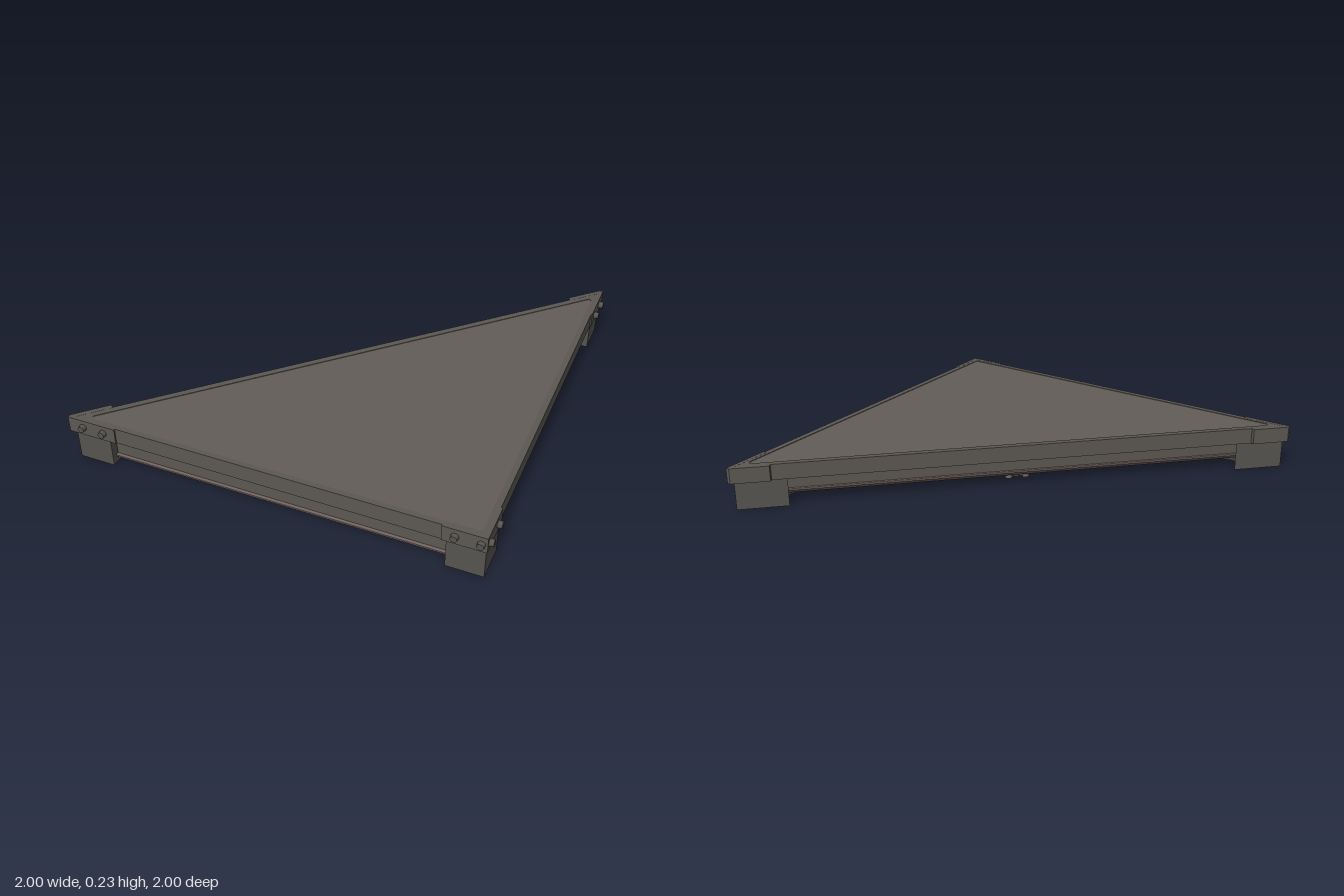
import * as THREE from 'three';

export function createModel() {
  const group = new THREE.Group();
  group.name = 'triangularPlatform';
  const mat = (name, color) => {
    const m = new THREE.MeshStandardMaterial({ color });
    m.name = name;
    return m;
  };
  const deckGrey = mat('deckGrey', 0x625d58);
  const frameGrey = mat('frameGrey', 0x5c5853);
  const footGrey = mat('footGrey', 0x575450);
  const rustBrown = mat('rustBrown', 0x776862);

  const add = (name, geometry, material) => {
    const mesh = new THREE.Mesh(geometry, material);
    mesh.name = name;
    group.add(mesh);
    return mesh;
  };
  // Upright prism over an outline given as [x, z] points
  const prism = (name, points, y0, y1, material, hole) => {
    const toV = ([x, z]) => new THREE.Vector2(x, -z);
    const shape = new THREE.Shape(points.map(toV));
    if (hole) shape.holes.push(new THREE.Path(hole.map(toV)));
    const geo = new THREE.ExtrudeGeometry(shape, { depth: y1 - y0, bevelEnabled: false });
    geo.rotateX(-Math.PI / 2).translate(0, y0, 0);
    return add(name, geo, material);
  };
  // The layout is symmetric when x and z are exchanged
  const swap = (points) => points.map(([x, z]) => [z, x]);

  // Deck: a raised rim around an inset panel
  const outer = [[-0.985, 0.967], [0.969, 0.967], [0.969, -0.987]];
  const inner = [[-0.9, 0.925], [-0.885, 0.94], [0.94, 0.94], [0.94, -0.885], [0.925, -0.9], [-0.895, 0.92]];
  prism('deckRim', outer, 0.145, 0.225, frameGrey, inner);
  prism('deckPanel', inner, 0.16, 0.222, deckGrey);

  // Corner plates wrapped around the rim
  const sharp = [[-1, 0.975], [-0.76, 0.975], [-0.76, 0.955], [-0.965, 0.955], [-0.85, 0.837], [-0.87, 0.825], [-1, 0.957]];
  const square = [[0.78, 0.975], [0.977, 0.975], [0.977, 0.78], [0.957, 0.78], [0.957, 0.955], [0.78, 0.955]];
  prism('cornerPlateLeft', sharp, 0.147, 0.2255, frameGrey);
  prism('cornerPlateBack', swap(sharp), 0.147, 0.2255, frameGrey);
  prism('cornerPlateFront', square, 0.147, 0.2255, frameGrey);

  // Corner feet
  const sharpFoot = [[-0.97, 0.965], [-0.795, 0.965], [-0.795, 0.79]];
  prism('footLeft', sharpFoot, 0, 0.15, footGrey);
  prism('footBack', swap(sharpFoot), 0, 0.15, footGrey);
  prism('footFront', [[0.8, 0.8], [0.8, 0.967], [0.971, 0.967], [0.971, 0.8]], 0, 0.15, footGrey);

  // Support beams: a plain web on a wider, chamfered lower flange
  const beam = (name, [x0, z0], [x1, z1], width, bottom) => {
    const w = width / 2;
    const lip = bottom + 0.025;
    const profiles = [
      ['Web', [[-0.7 * w, lip], [0.7 * w, lip], [0.7 * w, 0.162], [-0.7 * w, 0.162]], frameGrey],
      ['Flange', [[-0.7 * w, bottom], [0.7 * w, bottom], [w, lip - 0.008], [w, lip], [-w, lip], [-w, lip - 0.008]], rustBrown],
    ];
    for (const [part, points, material] of profiles) {
      const shape = new THREE.Shape(points.map(([u, y]) => new THREE.Vector2(u, y)));
      const depth = Math.hypot(x1 - x0, z1 - z0);
      const mesh = add(name + part, new THREE.ExtrudeGeometry(shape, { depth, bevelEnabled: false }), material);
      mesh.position.set(x0, 0, z0);
      mesh.rotation.y = Math.atan2(x1 - x0, z1 - z0);
    }
  };
  beam('frontBeam', [-0.82, 0.885], [0.82, 0.885], 0.11, 0.018);
  beam('sideBeam', [0.885, 0.82], [0.885, -0.82], 0.11, 0.018);
  beam('diagonalBeam', [-0.76, 0.86], [0.86, -0.76], 0.09, 0.05);
  beam('middleBeam', [0.82, 0.82], [0.04, 0.04], 0.075, 0.035);

  // Bolts on the corner plates
  const bolt = new THREE.CylinderGeometry(0.016, 0.018, 0.024, 12);
  for (const t of [-0.925, -0.82, 0.838, 0.95]) {
    const front = add('frontBolt', bolt, footGrey);
    front.position.set(t, 0.188, 0.983);
    front.rotation.x = Math.PI / 2;
    const side = add('sideBolt', bolt, footGrey);
    side.position.set(0.986, 0.188, t);
    side.rotation.z = -Math.PI / 2;
  }

  // Bolts under the joint of the middle and diagonal beams
  for (const [x, z] of [[0.02, 0.08], [0.08, 0.02], [0.1, 0.1]]) {
    add('jointBolt', bolt, rustBrown).position.set(x, 0.038, z);
  }
  return group;
}
